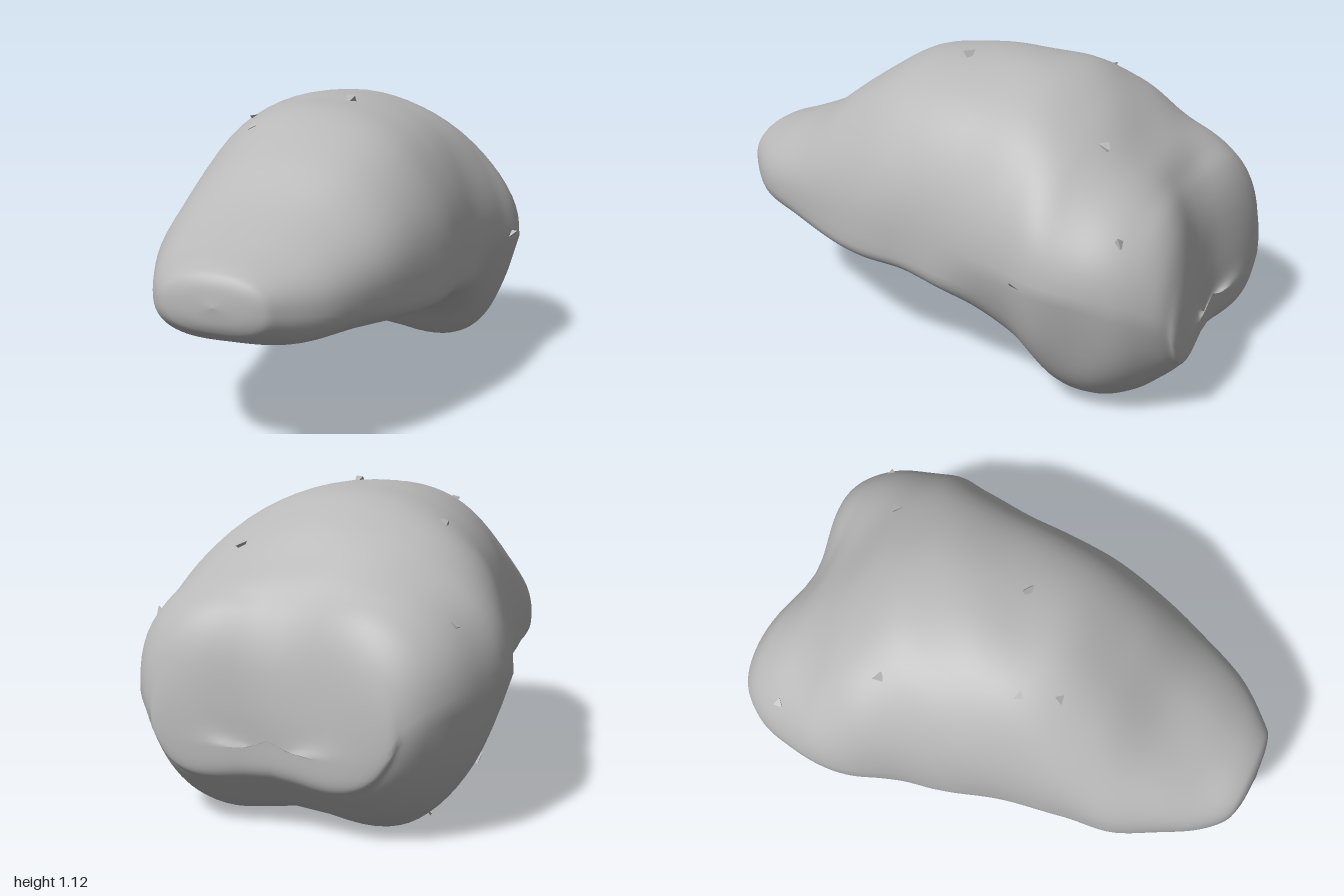
import * as THREE from 'three';

// Cross-sections from the front tip to the rear:
// z, half-width on -x, half-width on +x, height of widest line, top, bottom
const SECTIONS = [
  [1.0, 0, 0, 0.56, 0.56, 0.56],
  [0.985, 0.14, 0.15, 0.56, 0.64, 0.485],
  [0.94, 0.225, 0.22, 0.55, 0.68, 0.44],
  [0.8, 0.32, 0.34, 0.54, 0.735, 0.385],
  [0.6, 0.415, 0.43, 0.53, 0.83, 0.38],
  [0.4, 0.44, 0.5, 0.51, 0.975, 0.375],
  [0.2, 0.465, 0.545, 0.5, 1.085, 0.36],
  [0.0, 0.52, 0.56, 0.5, 1.115, 0.355],
  [-0.2, 0.57, 0.575, 0.5, 1.12, 0.285],
  [-0.4, 0.645, 0.61, 0.5, 1.1, 0.155],
  [-0.55, 0.665, 0.645, 0.5, 1.025, 0.02],
  [-0.7, 0.64, 0.615, 0.48, 0.91, -0.02],
  [-0.82, 0.6, 0.575, 0.45, 0.83, 0.03],
  [-0.91, 0.54, 0.51, 0.42, 0.76, 0.1],
  [-0.965, 0.47, 0.45, 0.38, 0.65, 0.15],
  [-0.995, 0.38, 0.37, 0.31, 0.47, 0.2],
  [-1.0, 0, 0, 0.3, 0.3, 0.3],
];
const RING = 72, STEPS = 112;
const ramp = THREE.MathUtils.smoothstep;

const spline = (cols) => new THREE.CatmullRomCurve3(
  SECTIONS.map((s) => new THREE.Vector3(s[cols[0]], s[cols[1]], s[cols[2]])), false, 'catmullrom', 0.5);
const plan = spline([0, 1, 2]);
const profile = spline([3, 4, 5]);

// Point on the skin: u runs front to rear, a goes round the section
function skin(u, a) {
  const p = plan.getPoint(u), q = profile.getPoint(u);
  const c = Math.cos(a), s = Math.sin(a), back = -p.x;
  const rear = ramp(back, 0.6, 0.9);
  // domed above, flatter below, rounder towards the front tip
  const n = s > 0
    ? 2.25 - 0.2 * ramp(back, 0.1, 0.5) + 0.6 * rear
    : 2.5 + 1.3 * ramp(back, -0.8, -0.3);
  const h = Math.abs(s) ** (2 / n);
  let x = Math.sign(c) * Math.abs(c) ** (2 / n) * (c < 0 ? p.y : p.z);
  let y = q.x + (s > 0 ? h * (q.y - q.x) : h * (q.z - q.x));
  // the rear part narrows downwards
  if (s < 0) x *= 1 - 0.2 * h * ramp(back, 0.1, 0.45);
  // hollow under the middle, and valley between the rear lobes
  const middle = Math.exp(-((x / 0.24) ** 2));
  if (s < 0) y += 0.075 * h * middle * ramp(back, -0.9, -0.2) * (1 - rear * 0.5);
  else y -= 0.055 * h * middle * rear;
  const z = p.x + (0.035 + 0.03 * Math.max(0, s)) * middle * ramp(back, 0.75, 0.97);
  // gentle unevenness
  const b = 0.004 * Math.sin(13 * x + 9 * z) * Math.sin(11 * y + 7 * z) * Math.min(1, (p.y + p.z) * 2);
  return new THREE.Vector3(x + b * c, Math.max(0, y + b * s), z);
}

function bodyGeometry() {
  const pos = [], index = [];
  for (let i = 0; i <= STEPS; i++)
    for (let j = 0; j < RING; j++) pos.push(...skin(i / STEPS, (j / RING) * Math.PI * 2).toArray());
  for (let i = 0; i < STEPS; i++)
    for (let j = 0; j < RING; j++) {
      const k = (j + 1) % RING;
      const a = i * RING + j, b = i * RING + k, c = a + RING, d = b + RING;
      index.push(a, c, b, b, c, d);
    }
  const g = new THREE.BufferGeometry();
  g.setAttribute('position', new THREE.Float32BufferAttribute(pos, 3));
  g.setIndex(index);
  g.computeVertexNormals();
  return g;
}

export function createModel() {
  const group = new THREE.Group();
  const stone = new THREE.MeshStandardMaterial({ name: 'stoneGrey', color: 0xb8b8b8 });

  const body = new THREE.Mesh(bodyGeometry(), stone);
  body.name = 'body';
  group.add(body);

  // Small sharp chips on the surface: u along the body, angle, size
  const chips = [
    [0.44, 1.42, 0.035], [0.66, 1.15, 0.03], [0.55, 2.2, 0.03], [0.4, 2.05, 0.025],
    [0.36, 1.95, 0.025], [0.62, 3.5, 0.03], [0.6, 0.05, 0.03], [0.47, 3.75, 0.028],
    [0.31, 3.7, 0.025], [0.7, 2.6, 0.025], [0.74, 0.6, 0.025], [0.66, 4.0, 0.025],
  ];
  const chipShape = new THREE.TetrahedronGeometry(1);
  chips.forEach(([u, a, size], i) => {
    const chip = new THREE.Mesh(chipShape, stone);
    chip.name = 'chip' + (i + 1);
    chip.position.copy(skin(u, a));
    chip.rotation.set(i * 1.3, i * 2.1, i * 0.7);
    chip.scale.set(size, size, size * 0.7);
    group.add(chip);
  });
  return group;
}
